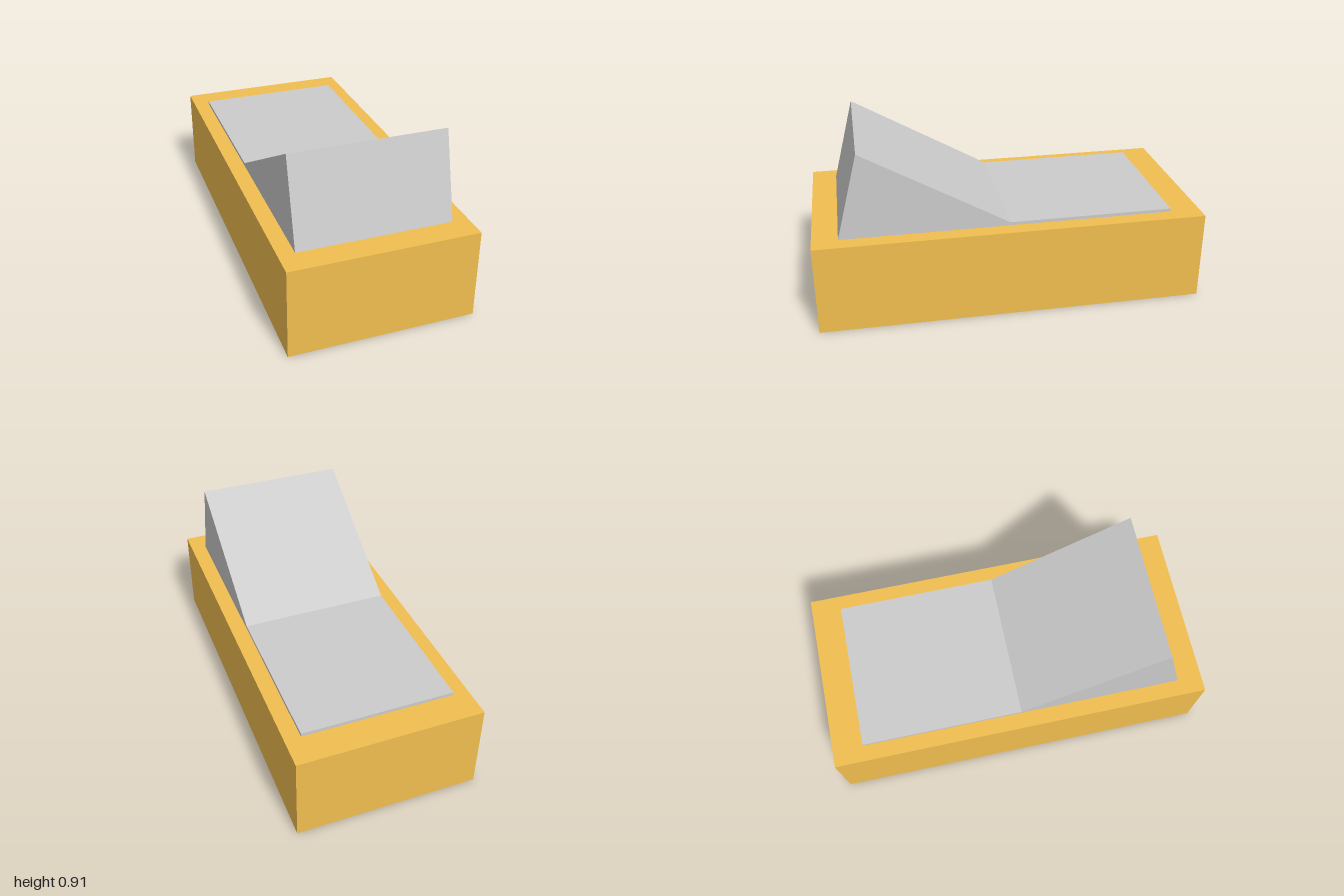
import * as THREE from 'three';

export function createModel() {
  const model = new THREE.Group();
  model.name = 'bed';

  // Solid rectangular base
  const baseHeight = 0.47;
  const base = new THREE.Mesh(
    new THREE.BoxGeometry(0.95, baseHeight, 2),
    new THREE.MeshStandardMaterial({ color: 0xf1be50, flatShading: true })
  );
  base.name = 'base';
  base.position.y = baseHeight / 2;
  model.add(base);

  // Thin pad rising into a wedge: side profile as (z, y), extruded across x
  const profile = new THREE.Shape([
    [-0.84, baseHeight], [0.87, baseHeight], [0.755, 0.912],
    [0.01, 0.487], [-0.84, 0.487],
  ].map(([z, y]) => new THREE.Vector2(z, y)));
  const width = 0.785;
  const padGeometry = new THREE.ExtrudeGeometry(profile, { depth: width, bevelEnabled: false });
  padGeometry.translate(0, 0, -width / 2).rotateY(-Math.PI / 2);
  const pad = new THREE.Mesh(
    padGeometry,
    new THREE.MeshStandardMaterial({ color: 0xcccccc, flatShading: true })
  );
  pad.name = 'padWithWedge';
  model.add(pad);

  return model;
}
